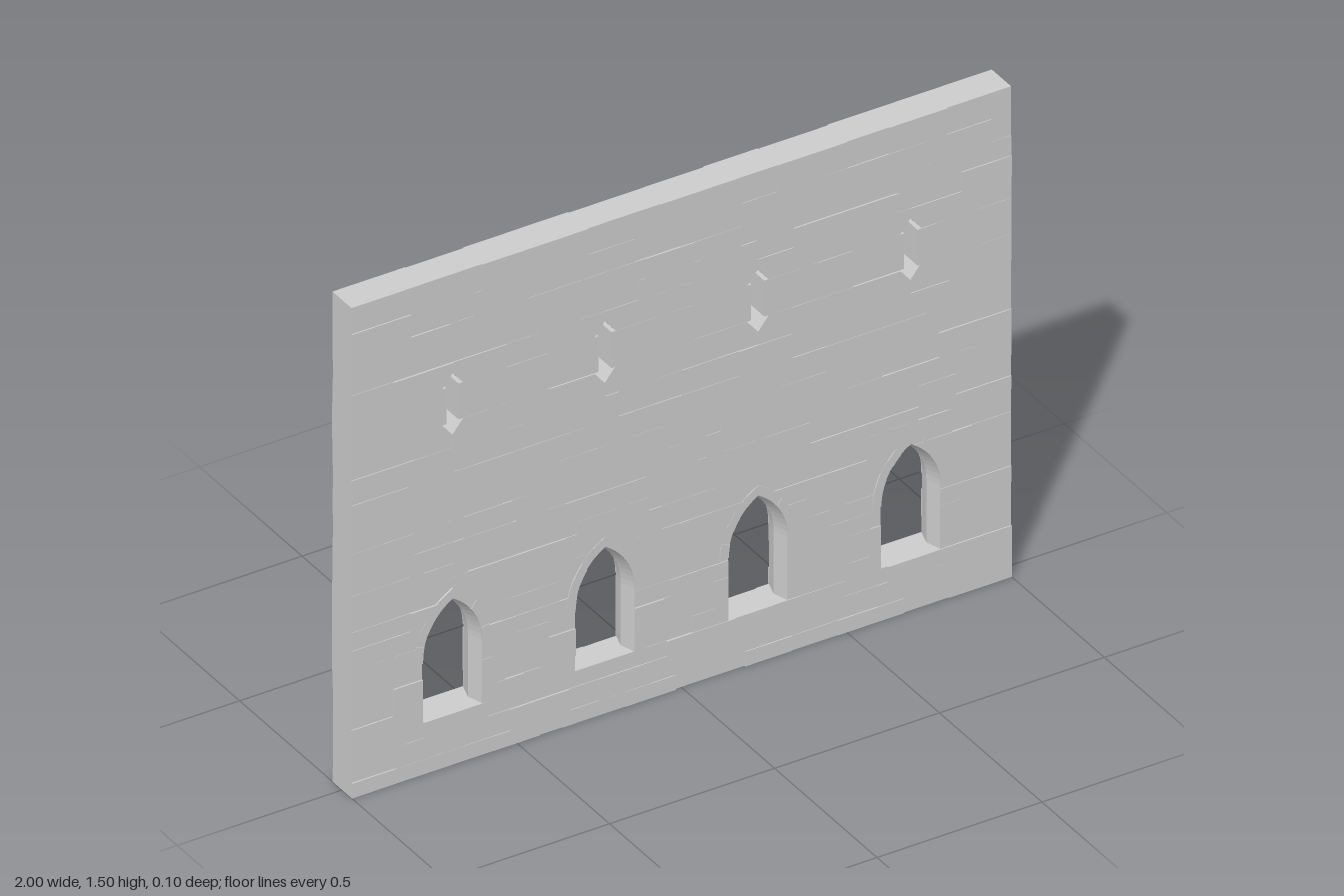
import * as THREE from 'three';
import { mergeGeometries } from 'three/addons/utils/BufferGeometryUtils.js';

// Seeded random numbers for the irregular masonry
let seed = 7;
const rand = () => (seed = (seed * 16807) % 2147483647) / 2147483647;

// Courses: bottom height followed by fixed vertical joints
const COURSES = [
  [0, -0.43, -0.36, -0.31, 0.81], [0.045, -0.66, -0.34, -0.25, 0.9], [0.11, -0.84, -0.78, 0.83],
  [0.157, -0.56, -0.48], [0.207, 0.41], [0.29], [0.34, -0.5, 0.45], [0.39],
  [0.45, -0.53, 0, 0.46, 0.56, 0.88], [0.505, -0.9], [0.575, -0.65, 0.1, 0.36],
  [0.615, -0.5, 0.39, 0.83], [0.68, -0.81, -0.66, 0.37, 0.84], [0.745, -0.74],
  [0.82, -0.83, 0.35, 0.74], [0.895, -0.93, -0.71, 0.81, 0.9], [0.97, -0.67, 0.5],
  [1.05, 0.41, 0.77], [1.16], [1.23, -0.13, 0.34], [1.29, -0.7, -0.47, 0.18, 0.43],
  [1.35, -0.63, -0.14, 0.94], [1.42, -0.78, -0.065, 0],
];
const TOP = 1.5;
const CENTRES = [-0.695, -0.232, 0.232, 0.695];

// Pointed arch: two arcs whose centres lie ARC_C past the middle
const SILL = 0.157, SPRING = 0.35, ARC_C = 0.097, ARC_R = 0.187;
const archHalfWidth = (y) => {
  if (y <= SPRING) return ARC_R - ARC_C;
  return Math.max(0, Math.sqrt(Math.max(0, ARC_R ** 2 - (y - SPRING) ** 2)) - ARC_C);
};
const arcPoint = (r, t) => {
  const a = t * Math.acos(ARC_C / r);
  return [Math.max(0, r * Math.cos(a) - ARC_C), SPRING + r * Math.sin(a)];
};

// Double-headed arrow slit
const slitHalfWidth = (y) => {
  const d = Math.abs(y - 1.105);
  return d < 0.055 ? 0.019 : Math.max(0, 0.032 * (0.095 - d) / 0.04);
};

const OPENINGS = [
  { y0: SILL, y1: 0.51, clear: 0.115, width: archHalfWidth, breaks: [SPRING, 0.5097] },
  { y0: 1.01, y1: 1.2, clear: 0.055, width: slitHalfWidth,
    breaks: [1.01, 1.0499, 1.0501, 1.1599, 1.1601, 1.2] },
];

// One stone, its sides following any opening centred on that side
function stone(x0, x1, y0, y1, opening) {
  const ys = [y0, y1];
  if (opening) {
    for (let i = 1; i < 6; i++) ys.push(y0 + (y1 - y0) * i / 6);
    ys.push(...opening.breaks.filter((y) => y > y0 && y < y1));
    ys.sort((a, b) => a - b);
  }
  const cut = (x, y) => (opening && CENTRES.includes(x) ? opening.width(y) : 0);
  const right = ys.map((y) => new THREE.Vector2(x1 - cut(x1, y), y));
  const left = ys.map((y) => new THREE.Vector2(x0 + cut(x0, y), y)).reverse();
  return slab([...right, ...left], 0.0435, 0.0495);
}

// Full-thickness block with slightly uneven front and back
function slab(points, min, max) {
  const front = min + rand() * (max - min);
  const back = min + rand() * (max - min);
  const g = new THREE.ExtrudeGeometry(new THREE.Shape(points), { depth: front + back, bevelEnabled: false });
  return g.translate(0, 0, -back);
}

function courseStones([y0, ...fixed], y1) {
  const opening = OPENINGS.find((o) => y0 < o.y1 - 0.001 && y1 > o.y0 + 0.001);
  const isClear = (x) => !opening || CENTRES.every((c) => Math.abs(x - c) >= opening.clear);
  const anchors = [-1, ...fixed.filter(isClear), ...(opening ? CENTRES : []), 1].sort((a, b) => a - b);
  // Fill wide gaps with irregular joints
  const joints = [-1];
  for (let i = 1; i < anchors.length; i++) {
    const a = anchors[i - 1], gap = anchors[i] - a;
    const n = Math.max(1, Math.round(gap / 0.17));
    for (let k = 1; k < n; k++) {
      const x = a + gap * (k + (rand() - 0.5) * 0.6) / n;
      if (isClear(x)) joints.push(x);
    }
    joints.push(anchors[i]);
  }
  return joints.slice(1).map((x, i) => stone(joints[i], x, y0, y1, opening));
}

// Wedge stones around the head of an arch
function archStones() {
  const parts = [], n = 5, steps = 3;
  for (const side of [-1, 1]) {
    for (let i = 0; i < n; i++) {
      const pts = [];
      for (let k = 0; k <= steps; k++) pts.push(arcPoint(ARC_R, (i + k / steps) / n));
      for (let k = steps; k >= 0; k--) pts.push(arcPoint(ARC_R + 0.026, (i + k / steps) / n));
      parts.push(slab(pts.map(([x, y]) => new THREE.Vector2(side * x, y)), 0.047, 0.05));
    }
  }
  return mergeGeometries(parts);
}

// Reveal lining an arch, narrowing from both faces to the middle of the wall
function archReveal() {
  const outline = (inset) => {
    const r = ARC_R - inset, half = [[r - ARC_C, SILL]];
    for (let i = 0; i <= 10; i++) half.push(arcPoint(r, i / 10));
    return [...half, ...half.slice(0, -1).reverse().map(([x, y]) => [-x, y])];
  };
  const loops = [[0, 0.0445], [0.014, 0], [0, -0.0445]].map(([inset, z]) =>
    outline(inset).map(([x, y]) => [x, y, z]));
  const pos = [];
  for (let s = 0; s < 2; s++) {
    for (let i = 0; i < loops[0].length - 1; i++) {
      const a = loops[s][i], b = loops[s][i + 1], c = loops[s + 1][i + 1], d = loops[s + 1][i];
      pos.push(...a, ...b, ...c, ...a, ...c, ...d);
    }
  }
  const g = new THREE.BufferGeometry();
  g.setAttribute('position', new THREE.Float32BufferAttribute(pos, 3));
  g.computeVertexNormals();
  return g;
}

export function createModel() {
  seed = 7;
  const group = new THREE.Group();
  group.name = 'stoneWall';
  const material = new THREE.MeshStandardMaterial({ color: 0xcccccc, flatShading: true });
  const thin = new THREE.MeshStandardMaterial({ color: 0xcccccc, flatShading: true, side: THREE.DoubleSide });
  const add = (name, geometry, mat = material, x = 0) => {
    const mesh = new THREE.Mesh(geometry, mat);
    mesh.name = name;
    mesh.position.x = x;
    group.add(mesh);
  };

  // Masonry courses
  COURSES.forEach((course, i) => {
    const y1 = i + 1 < COURSES.length ? COURSES[i + 1][0] : TOP;
    add(`stoneCourse${i + 1}`, mergeGeometries(courseStones(course, y1)));
  });

  // Window dressings
  CENTRES.forEach((x, i) => {
    add(`archStones${i + 1}`, archStones(), material, x);
    add(`archReveal${i + 1}`, archReveal(), thin, x);
  });
  return group;
}
